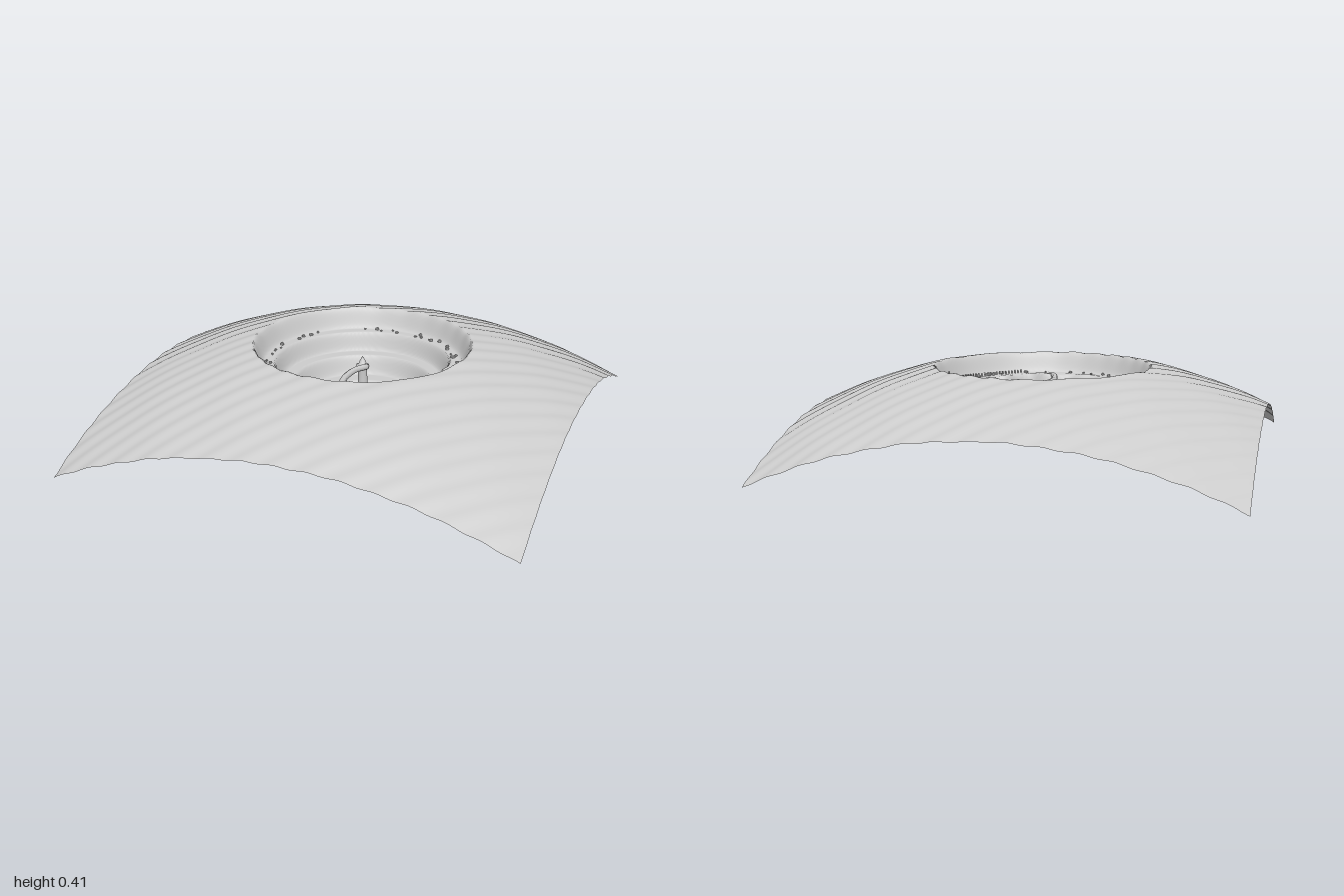
import * as THREE from 'three';

const smooth = THREE.MathUtils.smoothstep;
const FLOOR = 0.1;

// Terraces of the pit: outer and inner radius of each wall, level below it
const WALLS = [
  { outer: 0.495, inner: 0.445, level: 0.31 },
  { outer: 0.4, inner: 0.365, level: 0.225 },
  { outer: 0.31, inner: 0.27, level: 0.14 },
  { outer: 0.2, inner: 0.16, level: FLOOR },
];

// Height of the domed ground with its stepped pit
function heightAt(x, z) {
  const r = Math.hypot(x, z);
  const ripple = 0.0028 * Math.sin(45 * (x + z)) + 0.001 * Math.sin(17 * x - 9 * z);
  let y = 0.46 - 0.227 * r * r + ripple;
  if (r > 0.52) return y;

  // The inner walls are eroded on the +x and +z side
  const a = Math.atan2(z, x);
  const eroded = smooth(a, -0.5, 0.1) * (1 - smooth(a, 2.2, 2.8)) * (1 - smooth(r, 0.38, 0.44));
  const wobble = 0.022 * Math.sin(7 * a + 9 * r) + 0.014 * Math.sin(13 * a + 1.3 - 14 * r) + 0.012;
  const rr = r + eroded * wobble * smooth(r, 0.08, 0.16);
  for (const w of WALLS) {
    y = THREE.MathUtils.lerp(w.level, y, smooth(rr, w.inner, w.outer));
  }
  return y + eroded * 0.008 * Math.sin(28 * x + 2) * Math.sin(31 * z) * smooth(r, 0.12, 0.2);
}

function createGround(material) {
  const geometry = new THREE.PlaneGeometry(2, 2, 240, 240).rotateX(-Math.PI / 2);
  const p = geometry.attributes.position;
  for (let i = 0; i < p.count; i++) p.setY(i, Math.max(0, heightAt(p.getX(i), p.getZ(i))));
  geometry.computeVertexNormals();
  const ground = new THREE.Mesh(geometry, material);
  ground.name = 'ground';
  return ground;
}

// Slim central tower: base, shaft, collar and spire in one profile
function createTower(material) {
  const profile = [
    [0, 0.09], [0.055, 0.09], [0.055, 0.115], [0.035, 0.125], [0.024, 0.14],
    [0.02, 0.27], [0.03, 0.28], [0.03, 0.292], [0.018, 0.298], [0.012, 0.315], [0, 0.335],
  ].map(([r, y]) => new THREE.Vector2(r, y));
  const tower = new THREE.Mesh(new THREE.LatheGeometry(profile, 20), material);
  tower.name = 'tower';
  return tower;
}

// Curved walkway from the tower to the first terrace
function createWalkway(material) {
  const path = new THREE.CatmullRomCurve3([
    [0.02, 0.29, 0.01], [0.03, 0.3, 0.04], [0.005, 0.305, 0.1], [-0.005, 0.305, 0.19],
    [0.01, 0.305, 0.29], [0.03, 0.305, 0.36], [0.06, 0.3, 0.395],
  ].map((v) => new THREE.Vector3(...v)));
  const walkway = new THREE.Mesh(new THREE.TubeGeometry(path, 40, 0.014, 8), material);
  walkway.name = 'walkway';
  return walkway;
}

// Small deterministic number generator
function seeded(seed) {
  return () => {
    seed = (seed * 16807) % 2147483647;
    return seed / 2147483647;
  };
}

// Boulders scattered along a terrace
function createBoulders(name, count, radius, spread, from, to, seed, material) {
  const group = new THREE.Group();
  group.name = name;
  const random = seeded(seed);
  const geometry = new THREE.IcosahedronGeometry(1, 0);
  for (let i = 0; i < count; i++) {
    const a = from + (to - from) * random();
    const r = radius + spread * (random() - 0.5);
    const x = r * Math.cos(a), z = r * Math.sin(a);
    const boulder = new THREE.Mesh(geometry, material);
    boulder.name = 'boulder';
    boulder.scale.setScalar(0.004 + 0.006 * random());
    boulder.rotation.set(random() * 3, random() * 3, 0);
    boulder.position.set(x, heightAt(x, z) + 0.003, z);
    group.add(boulder);
  }
  return group;
}

// Row of short posts along the +x, +z side of the pit
function createPosts(material) {
  const group = new THREE.Group();
  group.name = 'posts';
  const line = new THREE.CatmullRomCurve3([[0.2, 0.39], [0.31, 0.29], [0.4, 0.18], [0.46, 0.05]]
    .map(([x, z]) => new THREE.Vector3(x, 0, z)));
  const geometry = new THREE.CylinderGeometry(0.003, 0.003, 0.016, 6);
  for (const p of line.getSpacedPoints(26)) {
    const post = new THREE.Mesh(geometry, material);
    post.name = 'post';
    post.position.set(p.x, heightAt(p.x, p.z) + 0.006, p.z);
    group.add(post);
  }
  return group;
}

export function createModel() {
  const model = new THREE.Group();
  model.name = 'terracedPit';
  const solid = new THREE.MeshStandardMaterial({ color: 0xcccccc });
  const sheet = new THREE.MeshStandardMaterial({ color: 0xcccccc, side: THREE.DoubleSide });
  const stone = new THREE.MeshStandardMaterial({ color: 0xcccccc, flatShading: true });

  model.add(
    createGround(sheet),
    createTower(solid),
    createWalkway(sheet),
    createBoulders('outerBoulders', 60, 0.425, 0.035, 0, Math.PI * 2, 11, stone),
    createBoulders('innerBoulders', 26, 0.15, 0.05, Math.PI, Math.PI * 2, 37, stone),
    createPosts(solid),
  );
  return model;
}
